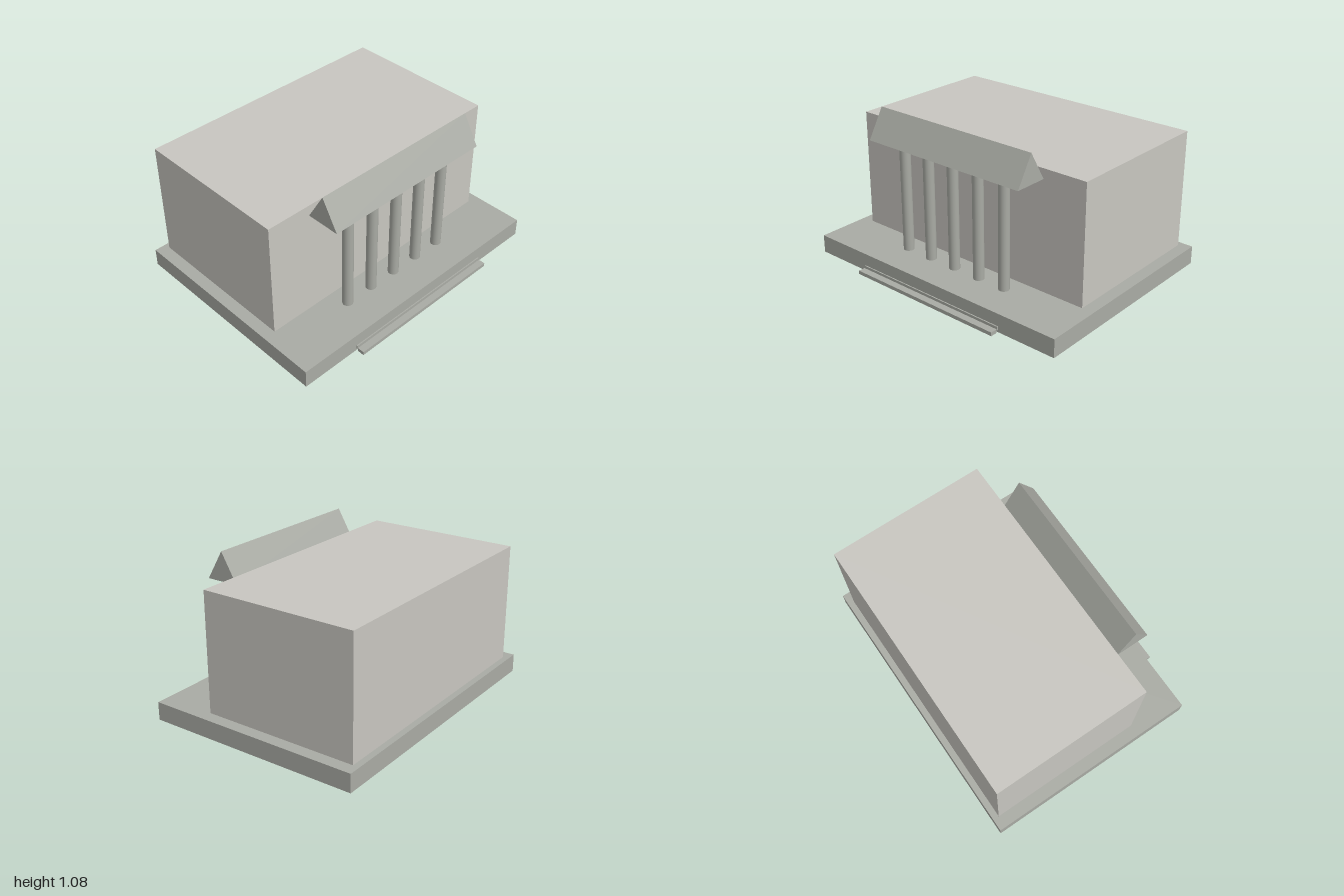
import * as THREE from 'three';

const stone = new THREE.MeshStandardMaterial({ color: 0xa9aba4 });
const wall = new THREE.MeshStandardMaterial({ color: 0xc8c6c0 });

// Box given by its lower and upper corners
function block(name, [x0, y0, z0], [x1, y1, z1], material) {
  const mesh = new THREE.Mesh(new THREE.BoxGeometry(x1 - x0, y1 - y0, z1 - z0), material);
  mesh.position.set((x0 + x1) / 2, (y0 + y1) / 2, (z0 + z1) / 2);
  mesh.name = name;
  return mesh;
}

export function createModel() {
  const model = new THREE.Group();
  model.name = 'columnedHall';

  // Base slab and main hall
  model.add(block('base', [-1, 0, -0.78], [1, 0.125, 0.72], stone));
  model.add(block('hall', [-0.917, 0.125, -0.737], [0.917, 0.94, 0.346], wall));

  // Front steps, the upper one mostly sunk into the base
  model.add(block('lowerStep', [-0.58, 0, 0.732], [0.58, 0.025, 0.78], stone));
  model.add(block('upperStep', [-0.58, 0.015, 0.68], [0.58, 0.04, 0.728], stone));

  // Row of five columns
  const columns = new THREE.Group();
  columns.name = 'columns';
  const columnGeometry = new THREE.CylinderGeometry(0.036, 0.036, 0.735, 16);
  for (let i = -2; i <= 2; i++) {
    const column = new THREE.Mesh(columnGeometry, stone);
    column.name = 'column';
    column.position.set(i * 0.208, 0.125 + 0.735 / 2, 0.474);
    columns.add(column);
  }
  model.add(columns);

  // Triangular roof bar floating just above the columns
  const profile = new THREE.Shape([
    new THREE.Vector2(-0.116, 0.878),
    new THREE.Vector2(0.116, 0.878),
    new THREE.Vector2(0, 1.076),
  ]);
  const roof = new THREE.Mesh(
    new THREE.ExtrudeGeometry(profile, { depth: 1.234, bevelEnabled: false }).translate(0, 0, -0.617),
    stone
  );
  roof.name = 'porticoRoof';
  roof.rotation.y = Math.PI / 2;
  roof.position.z = 0.472;
  model.add(roof);

  return model;
}
